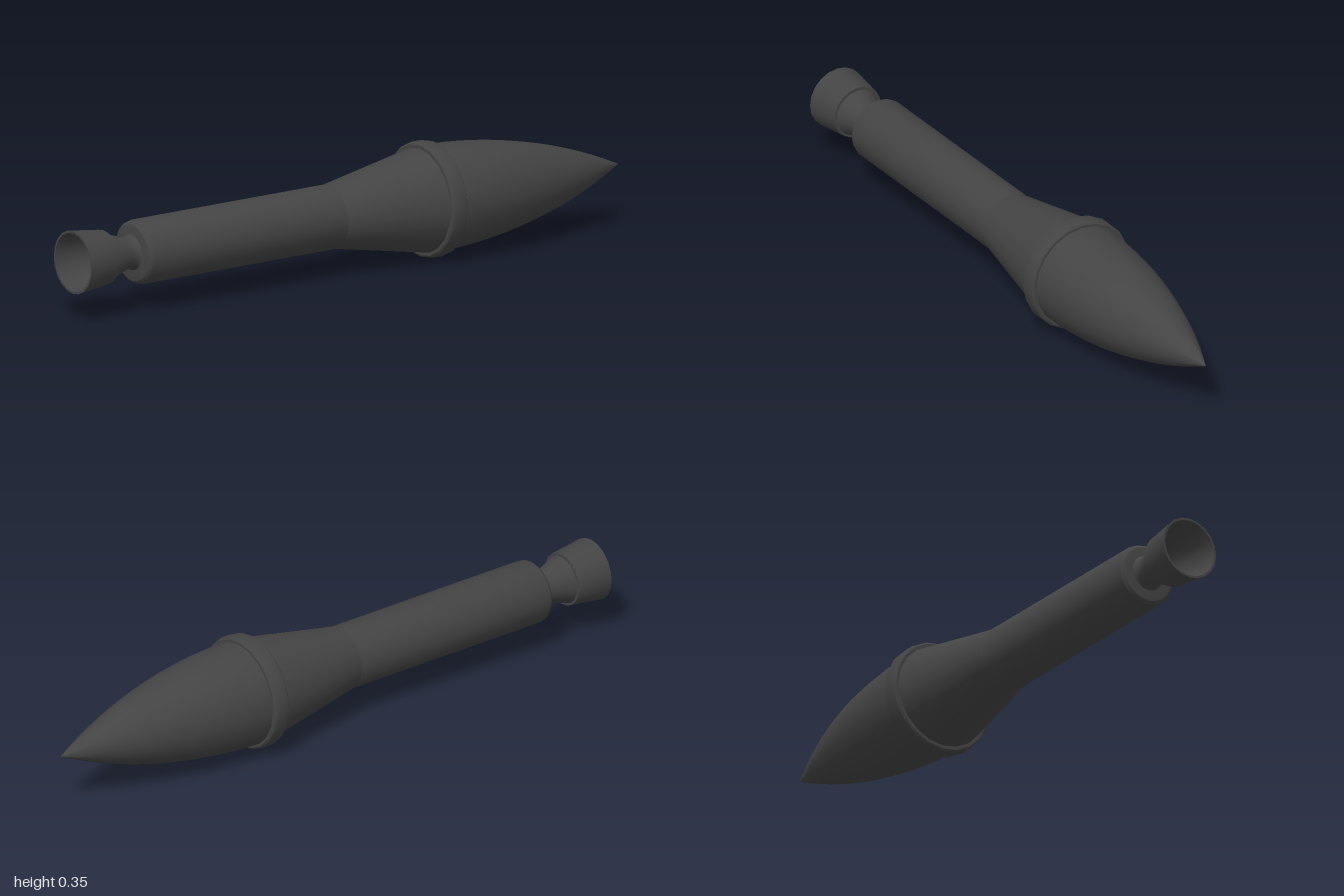
import * as THREE from 'three';
import { toCreasedNormals } from 'three/addons/utils/BufferGeometryUtils.js';

const SIDES = 20;
const AXIS_Y = 0.176;

export function createModel() {
  const group = new THREE.Group();
  const material = new THREE.MeshStandardMaterial({ color: 0x444444 });

  // Revolves a profile of [radius, z] pairs (listed nose to tail) around the z axis.
  function turned(name, profile, dx = 0, dy = 0) {
    const points = profile.map(([r, z]) => new THREE.Vector2(r, z));
    const geometry = toCreasedNormals(new THREE.LatheGeometry(points, SIDES), 0.5);
    geometry.rotateX(Math.PI / 2);
    const mesh = new THREE.Mesh(geometry, material);
    mesh.name = name;
    mesh.position.set(dx, AXIS_Y + dy, 0);
    group.add(mesh);
  }

  // Pointed nose following a circular arc, widest at the collar
  const length = 0.7, radius = 0.16, steps = 14;
  const arc = (radius ** 2 + length ** 2) / (2 * radius);
  const nose = [];
  for (let i = 0; i <= steps; i++) {
    const t = length * (1 - i / steps);
    nose.push([Math.max(0, Math.sqrt(arc * arc - t * t) + radius - arc), -0.3 - t]);
  }
  turned('nose', nose);

  // Rounded collar around the widest point
  turned('collar', [
    [0.155, -0.325], [0.168, -0.325], [0.173, -0.321], [0.175, -0.314],
    [0.175, -0.281], [0.173, -0.274], [0.168, -0.27], [0.155, -0.27],
  ]);

  // Taper from collar down to the motor tube
  turned('taper', [[0.163, -0.3], [0.158, -0.27], [0.097, 0.06]]);

  // Motor tube with a rounded rear edge
  turned('motorTube', [
    [0.097, 0.06], [0.097, 0.765], [0.094, 0.776], [0.086, 0.784], [0.076, 0.786], [0, 0.786],
  ]);

  // Throat between motor tube and bell
  turned('throat', [[0.06, 0.78], [0.051, 0.79], [0.048, 0.8], [0.05, 0.82], [0.075, 0.892]], -0.001, 0.002);

  // Hollow exhaust bell: outer wall, rim, then curved inside
  turned('exhaustBell', [
    [0.07, 0.888], [0.082, 0.888], [0.096, 1], [0.089, 1],
    [0.078, 0.92], [0.067, 0.875], [0.052, 0.84], [0.028, 0.822], [0, 0.816],
  ], -0.001, 0.003);

  return group;
}
